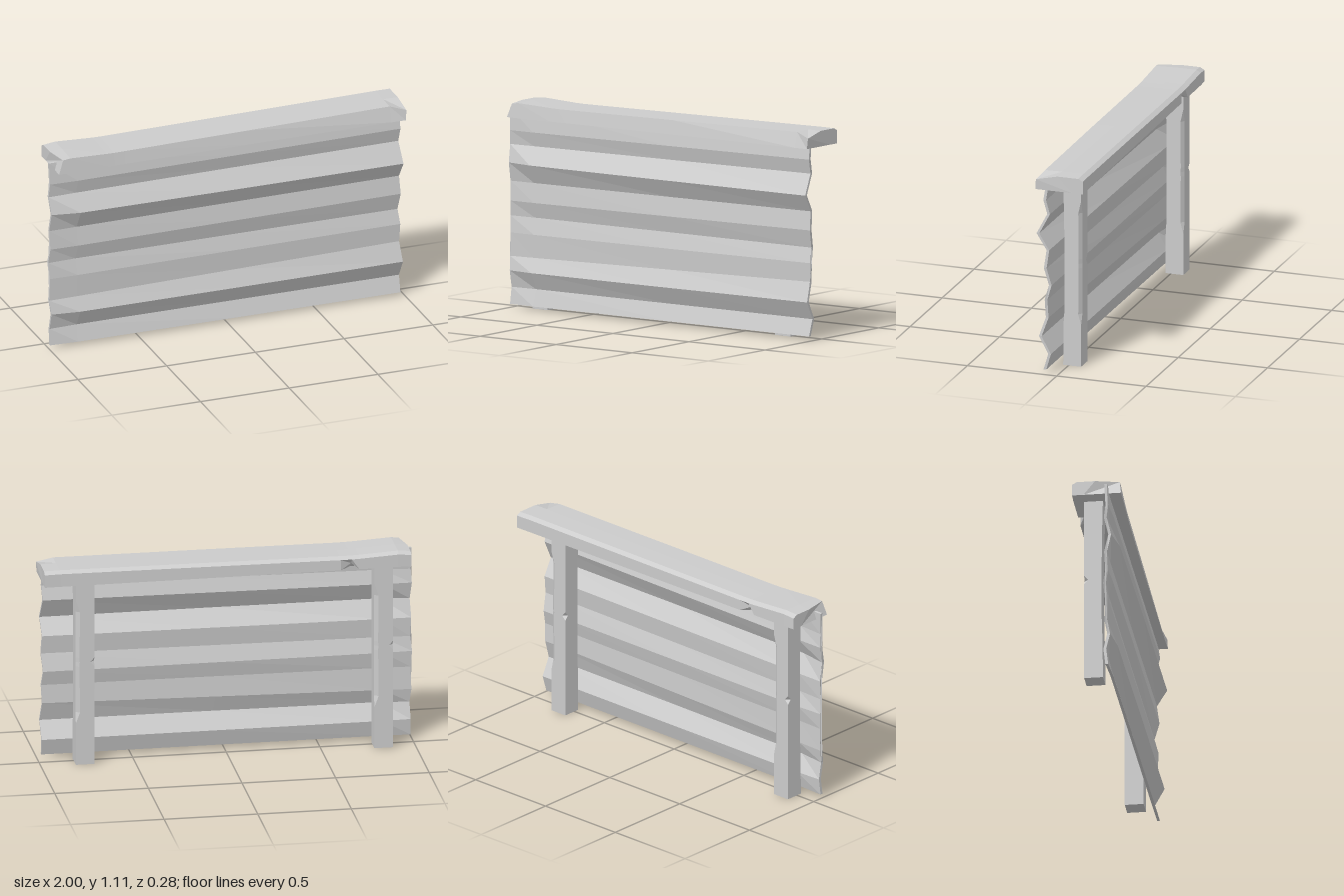
import * as THREE from 'three';

const material = new THREE.MeshStandardMaterial({ color: 0xcccccc, flatShading: true });

// Skins closed rings of [z, y, x shift], given counter-clockwise seen from +x, along x.
function loft(name, stations) {
  const pos = [];
  const put = (...pts) => pts.forEach((p) => pos.push(...p));
  const rings = stations.map(({ x, ring }) => ring.map(([z, y, dx = 0]) => [x + dx, y, z]));
  const n = rings[0].length;
  for (let k = 0; k < rings.length - 1; k++) {
    for (let i = 0; i < n; i++) {
      const j = (i + 1) % n;
      const a = rings[k][i], b = rings[k][j], c = rings[k + 1][j], d = rings[k + 1][i];
      put(a, b, c, a, c, d);
    }
  }
  // End caps
  [rings[0], rings[rings.length - 1]].forEach((ring, end) => {
    const contour = ring.map(([, y, z]) => new THREE.Vector2(-z, y));
    for (const [a, b, c] of THREE.ShapeUtils.triangulateShape(contour, [])) {
      if (end) put(ring[a], ring[b], ring[c]);
      else put(ring[a], ring[c], ring[b]);
    }
  });
  const geometry = new THREE.BufferGeometry();
  geometry.setAttribute('position', new THREE.Float32BufferAttribute(pos, 3));
  geometry.computeVertexNormals();
  const mesh = new THREE.Mesh(geometry, material);
  mesh.name = name;
  return mesh;
}

// Corrugated sheet, flattened towards its right end
function corrugatedPanel() {
  // Folds from the top down: [front z, y at the right end, y at the left end, x wobble]
  const folds = [
    [0.068, 1.065, 1.065, -0.004], [0.083, 0.945, 0.962, 0], [0.063, 0.87, 0.885, -0.005],
    [0.12, 0.775, 0.775, 0.003], [0.066, 0.675, 0.685, -0.002], [0.079, 0.57, 0.585, 0.003],
    [0.054, 0.49, 0.49, -0.006], [0.075, 0.4, 0.41, 0.002], [0.07, 0.275, 0.31, -0.003],
    [0.106, 0.2, 0.205, 0.005], [0.055, 0.11, 0.11, 0.002], [0.082, 0.02, 0.02, 0],
  ];
  // [x, depth of the folds]
  const cuts = [[-0.995, 0.4], [-0.84, 0.9], [0.05, 1], [0.977, 1]];
  return loft('corrugatedPanel', cuts.map(([x, depth]) => {
    const front = folds.map(([z, y0, y1, dx]) => [
      0.068 + (z - 0.068) * depth,
      THREE.MathUtils.lerp(y0, y1, (x + 1) / 1.98),
      dx,
    ]);
    const back = front.map(([z, y, dx]) => [z - 0.015, y, dx]).reverse();
    return { x, ring: [...front, ...back] };
  }));
}

// Square post with a worn outer edge and a small nick, lofted along x and stood upright
function post(name, x) {
  // [height, edge wear, nick, front inset]
  const levels = [
    [0, 0, 0, 0], [0.23, 0, 0, 0.002], [0.29, 0.016, 0, 0.006], [0.545, 0.014, 0, 0.007],
    [0.57, 0.015, 0.022, 0.007], [0.595, 0.014, 0, 0.007], [0.85, 0.016, 0, 0.005],
    [0.92, 0, 0, 0.002], [1.05, 0, 0, 0],
  ];
  const w = 0.05, back = -0.07;
  const mesh = loft(name, levels.map(([h, c, n, f]) => ({
    x: h,
    ring: [
      [0.03 - f, -w], [back + c, -w], [back, -w + 1.4 * c],
      [back, w - n], [back + n, w], [0.03 - f, w],
    ],
  })));
  mesh.rotation.z = Math.PI / 2;
  mesh.position.x = x;
  return mesh;
}

// Rough-hewn top rail with chipped ends and a nick under its back edge
function topRail() {
  // [x, back z, top y, front top z, front top y, front bottom z, nick, front top x shift]
  const cuts = [
    [-0.968, -0.122, 1.1, 0.128, 1.098, 0.138, 0, 0.026],
    [-0.9, -0.125, 1.107, 0.127, 1.103, 0.137, 0, 0],
    [-0.69, -0.127, 1.096, 0.121, 1.094, 0.132, 0, 0],
    [-0.65, -0.128, 1.095, 0.12, 1.093, 0.131, 0.028, 0],
    [-0.59, -0.129, 1.095, 0.118, 1.093, 0.13, 0, 0],
    [0.1, -0.135, 1.101, 0.11, 1.099, 0.124, 0, 0],
    [0.91, -0.142, 1.108, 0.097, 1.106, 0.121, 0, 0],
    [0.993, -0.144, 1.107, 0.118, 1.08, 0.122, 0, 0.004],
  ];
  return loft('topRail', cuts.map(([x, zb, top, zf, yf, zfb, nick, dx]) => ({
    x,
    ring: [
      [zb + 0.06, 1.024], [zb + nick, 1.024 + nick], [zb, top - 0.014],
      [zb + 0.025, top], [0, top], [zf, yf, dx], [zfb, 1.024],
    ],
  })));
}

export function createModel() {
  const group = new THREE.Group();
  group.name = 'fenceSection';
  group.add(corrugatedPanel(), topRail(), post('rightPost', -0.83), post('leftPost', 0.765));
  return group;
}
